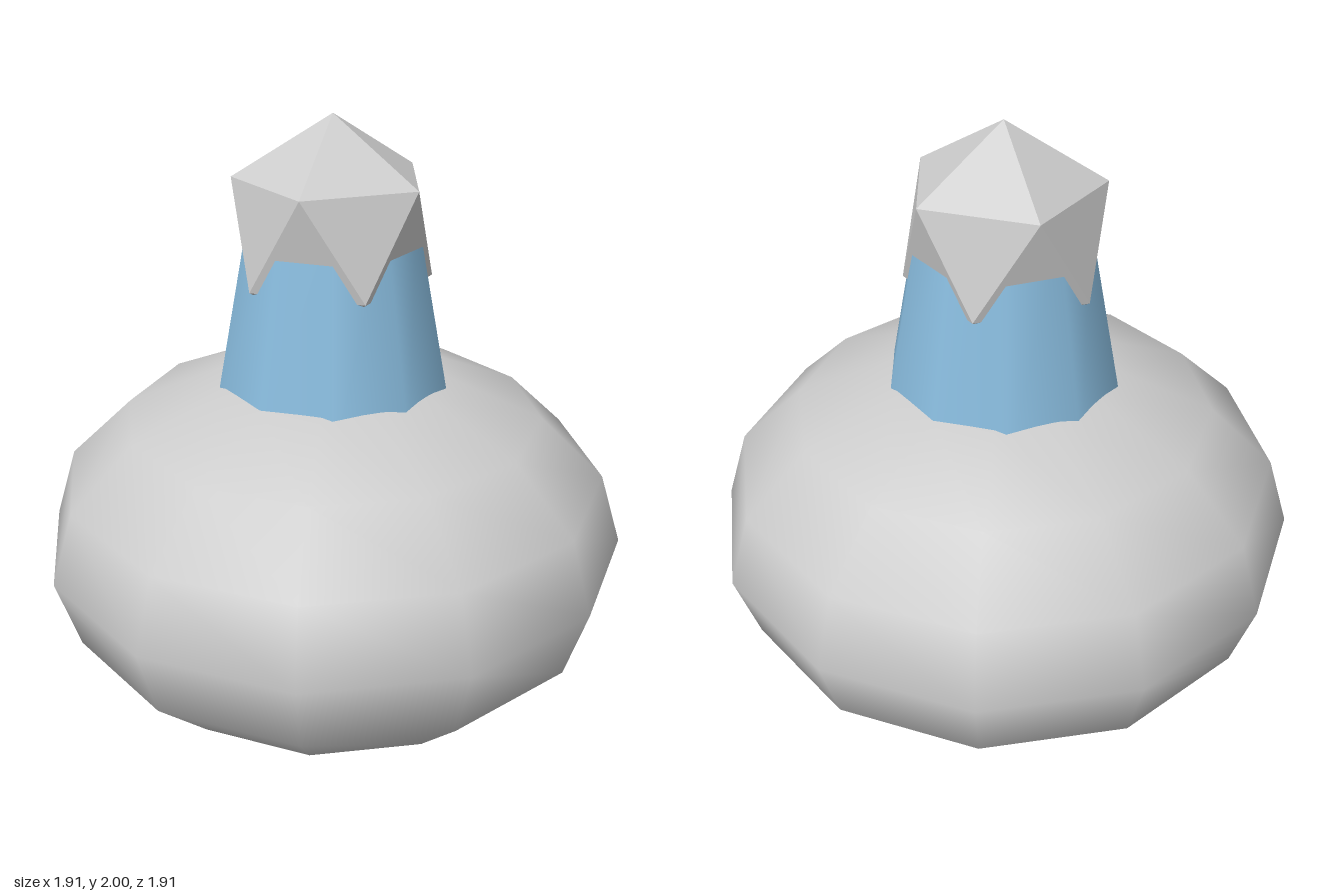
import * as THREE from 'three';

export function createModel() {
  const model = new THREE.Group();
  const grey = new THREE.MeshStandardMaterial({ color: 0xcccccc });
  grey.name = 'pale grey';
  const greyFaceted = grey; // facets come from the unshared normals of the stopper
  const blue = new THREE.MeshStandardMaterial({ color: 0x88bbdd });
  blue.name = 'light blue';

  function add(name, geometry, material, y) {
    const mesh = new THREE.Mesh(geometry, material);
    mesh.name = name;
    mesh.position.y = y;
    model.add(mesh);
  }

  // Squashed, smooth low-poly body
  const body = new THREE.SphereGeometry(0.955, 12, 8);
  body.scale(1, 0.61 / 0.955, 1);
  add('body', body, grey, 0.61);

  // Tapered ten-sided neck, sunk into the body and the stopper
  const neckBottom = 1.05, neckTop = 1.75;
  const radiusAt = (y) => 0.373 - 0.195 * (y - 1.17);
  add('neck',
    new THREE.CylinderGeometry(radiusAt(neckTop), radiusAt(neckBottom), neckTop - neckBottom, 10),
    blue, (neckTop + neckBottom) / 2);

  // Faceted stopper, turned so that one corner points straight up
  const stopper = new THREE.IcosahedronGeometry(0.345, 0);
  stopper.rotateZ(-Math.atan(2 / (1 + Math.sqrt(5))));
  add('stopper', stopper, greyFaceted, 1.655);

  return model;
}
